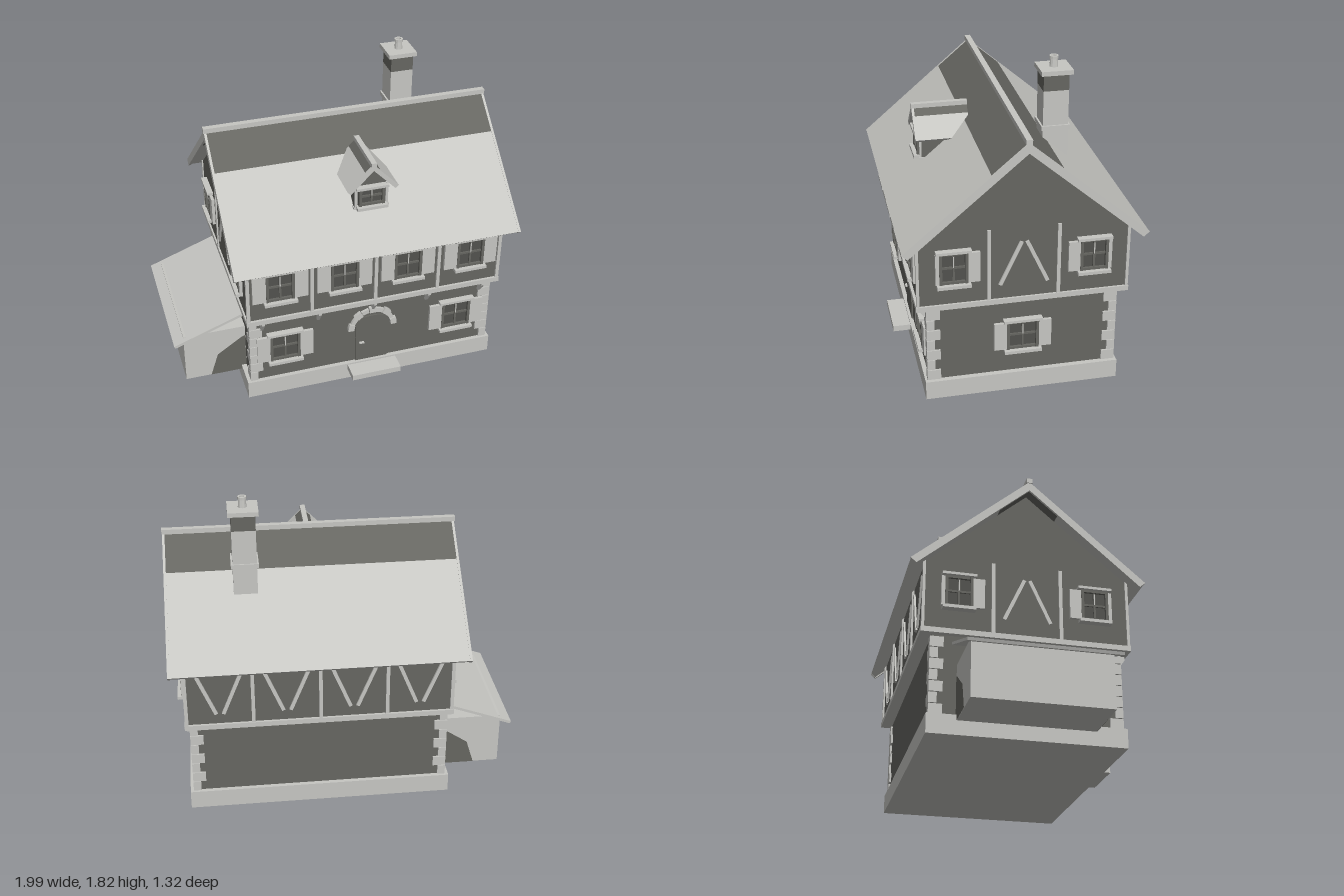
import * as THREE from 'three';

const mat = (name, color, side = THREE.FrontSide) => {
  const m = new THREE.MeshStandardMaterial({ color, side });
  m.name = name;
  return m;
};

export function createModel() {
  const light = mat('pale stone', 0xc6c6c2);
  const dark = mat('dark plaster', 0x666661);
  const pane = mat('window glass', 0x52524e);
  const patch = mat('dark patch', 0x666660, THREE.DoubleSide);
  const house = new THREE.Group();
  house.name = 'house';
  const CX = 0.157; // centre of the main block

  const add = (parent, name, geo, m) => {
    const mesh = new THREE.Mesh(geo, m);
    mesh.name = name;
    parent.add(mesh);
    return mesh;
  };
  // Box given by its limits on each axis
  const box = (parent, name, m, [x0, x1], [y0, y1], [z0, z1]) => {
    const mesh = add(parent, name, new THREE.BoxGeometry(x1 - x0, y1 - y0, z1 - z0), m);
    mesh.position.set((x0 + x1) / 2, (y0 + y1) / 2, (z0 + z1) / 2);
    return mesh;
  };
  const shapeOf = (pts) => new THREE.Shape(pts.map(([x, y]) => new THREE.Vector2(x, y)));
  const extrude = (shape, depth) =>
    new THREE.ExtrudeGeometry(shape, { depth, bevelEnabled: false, curveSegments: 10 });
  // Profile in [z, y] extruded along x
  const prismX = (parent, name, m, pts, x0, x1) => {
    const geo = extrude(shapeOf(pts.map(([z, y]) => [-z, y])), x1 - x0).rotateY(Math.PI / 2);
    add(parent, name, geo, m).position.x = x0;
  };
  // Profile in [x, y] extruded along z
  const prismZ = (parent, name, m, pts, z0, z1) => {
    add(parent, name, extrude(shapeOf(pts), z1 - z0), m).position.z = z0;
  };
  // Flat diagonal brace between two points on a wall facing +z
  const brace = (parent, [xa, ya], [xb, yb], z) => {
    const b = add(parent, 'brace', new THREE.BoxGeometry(0.02, Math.hypot(xb - xa, yb - ya), 0.016), light);
    b.position.set((xa + xb) / 2, (ya + yb) / 2, z);
    b.rotation.z = -Math.atan2(xb - xa, yb - ya);
  };
  // Group that faces outward on a wall
  const facing = (name, x, y, z, turn) => {
    const g = new THREE.Group();
    g.name = name;
    g.position.set(x, y, z);
    g.rotation.y = turn;
    house.add(g);
    return g;
  };

  // Plinth, lower storey and doorstep
  box(house, 'plinth', light, [-0.605, 0.915], [0, 0.11], [-0.543, 0.543]);
  box(house, 'lowerWalls', dark, [-0.575, 0.885], [0.11, 0.57], [-0.518, 0.518]);
  box(house, 'doorstep', light, [0.005, 0.305], [0.065, 0.1], [0.54, 0.645]);

  // Corner stones
  for (const sx of [-1, 1]) for (const sz of [-1, 1]) for (let i = 0; i < 7; i++) {
    const a = i % 2 ? 0.075 : 0.045, b = i % 2 ? 0.045 : 0.075;
    const px = sx < 0 ? -0.585 : 0.896, pz = sz * 0.53, y = 0.112 + i * 0.0635;
    box(house, 'cornerStone', light, [px, px - sx * a].sort((p, q) => p - q), [y, y + 0.059],
      [pz, pz - sz * b].sort((p, q) => p - q));
  }

  // Upper storey with gables, floor beam and posts
  prismX(house, 'upperWalls', dark,
    [[-0.57, 0.58], [0.57, 0.58], [0.57, 0.985], [0, 1.472], [-0.57, 0.985]], -0.597, 0.908);
  box(house, 'floorBeam', light, [-0.607, 0.92], [0.565, 0.595], [-0.585, 0.585]);
  const postX = [-0.595, -0.224, 0.154, 0.533, 0.907];
  for (const s of [-1, 1]) {
    for (const x of postX) box(house, 'post', light, [x - 0.01, x + 0.01], [0.595, 0.99],
      [s * 0.574 - 0.008, s * 0.574 + 0.008]);
    for (const z of [-0.19, 0.19]) {
      const x = s < 0 ? -0.598 : 0.909;
      box(house, 'gablePost', light, [x - 0.008, x + 0.008], [0.595, 1.015], [z - 0.01, z + 0.01]);
    }
    // Crossed braces in the middle of each gable
    const side = facing('gableBraces', s < 0 ? -0.599 : 0.91, 0, 0, s * Math.PI / 2);
    for (const k of [-1, 1]) brace(side, [k * 0.13, 0.68], [k * 0.015, 0.93], 0);
  }
  // V braces along the back
  for (let i = 0; i < 4; i++) {
    const c = (postX[i] + postX[i + 1]) / 2;
    for (const k of [-1, 1]) brace(house, [c + k * 0.02, 0.66], [c + k * 0.13, 0.93], -0.573);
  }
  // Brackets below the front overhang
  for (const x of [-0.51, -0.175, 0.157, 0.49, 0.825])
    prismX(house, 'bracket', light, [[0.515, 0.565], [0.575, 0.565], [0.575, 0.545], [0.532, 0.48], [0.515, 0.48]],
      x - 0.008, x + 0.008);

  // Roof: pale lower slopes, dark band near the ridge
  for (const s of [-1, 1]) {
    const mirror = (pts) => pts.map(([z, y]) => [s * z, y]);
    prismX(house, 'roofSlope', light,
      mirror([[0.19, 1.358], [0.66, 0.957], [0.633, 0.935], [0.165, 1.335]]), -0.674, 0.984);
    prismX(house, 'roofUpperBand', dark,
      mirror([[0, 1.52], [0.19, 1.358], [0.165, 1.335], [0, 1.476]]), -0.674, 0.984);
    for (const x of [-0.68, 0.976]) prismX(house, 'vergeBoard', light,
      mirror([[0, 1.523], [0.662, 0.957], [0.63, 0.929], [0, 1.468]]), x, x + 0.014);
  }
  box(house, 'ridgeCap', light, [-0.685, 0.992], [1.515, 1.543], [-0.017, 0.017]);

  // Chimney
  box(house, 'chimneyStack', light, [0.473, 0.607], [1.2, 1.64], [-0.304, -0.165]);
  box(house, 'chimneyBand', dark, [0.473, 0.607], [1.64, 1.73], [-0.304, -0.165]);
  box(house, 'chimneyCollar', light, [0.463, 0.617], [1.42, 1.445], [-0.313, -0.155]);
  box(house, 'chimneyCap', light, [0.455, 0.623], [1.73, 1.755], [-0.323, -0.15]);
  const potProfile = [[0.012, 1.755], [0.024, 1.755], [0.02, 1.8], [0.025, 1.8], [0.025, 1.815], [0.014, 1.815], [0.012, 1.755]];
  const pot = add(house, 'chimneyPot',
    new THREE.LatheGeometry(potProfile.map(([r, y]) => new THREE.Vector2(r, y)), 12).toNonIndexed(), light);
  pot.geometry.computeVertexNormals();
  pot.position.set(0.539, 0, -0.235);

  // Window in a group facing +z; shutter widths can differ
  const windowAt = (x, y, z, turn, { w = 0.165, h = 0.185, left = 0.078, right = 0.078 } = {}) => {
    const g = facing('window', x, y, z, turn);
    const a = w / 2, b = h / 2;
    box(g, 'pane', pane, [-a, a], [-b, b], [-0.004, 0.004]);
    for (const k of [-1, 1]) {
      box(g, 'jamb', dark, [k * (a - 0.008) - 0.008, k * (a - 0.008) + 0.008], [-b, b], [0, 0.022]);
      box(g, 'rail', dark, [-a, a], [k * (b - 0.007) - 0.007, k * (b - 0.007) + 0.007], [0, 0.018]);
    }
    box(g, 'mullion', dark, [-0.006, 0.006], [-b, b], [0, 0.014]);
    box(g, 'crossBar', dark, [-a, a], [-0.004, 0.008], [0, 0.012]);
    box(g, 'latch', light, [-0.003, 0.003], [0.005, b * 0.75], [0.012, 0.017]);
    box(g, 'lintel', light, [-a - 0.018, a + 0.018], [b, b + 0.015], [-0.005, 0.035]);
    box(g, 'sill', light, [-a - 0.014, a + 0.014], [-b - 0.018, -b], [-0.005, 0.042]);
    if (left) box(g, 'shutter', light, [-a - left, -a], [-b + 0.003, b - 0.006], [0.002, 0.02]);
    if (right) box(g, 'shutter', light, [a, a + right], [-b + 0.003, b - 0.006], [0.002, 0.02]);
  };
  for (const x of [-0.41, -0.035, 0.342, 0.723]) windowAt(x, 0.812, 0.571, 0);
  for (const x of [-0.375, 0.683]) windowAt(x, 0.335, 0.52, 0, { w: 0.18 });
  windowAt(0.887, 0.345, 0, Math.PI / 2, { w: 0.18, h: 0.175, left: 0.07, right: 0.07 });
  for (const s of [-1, 1]) for (const k of [-1, 1]) {
    // narrow shutter on the outer side, wide on the inner
    const wideRight = s * k > 0;
    windowAt(s < 0 ? -0.598 : 0.909, 0.815, k * 0.382, s * Math.PI / 2,
      { w: 0.155, left: wideRight ? 0.02 : 0.065, right: wideRight ? 0.065 : 0.02 });
  }

  // Arched door with stone surround
  const door = new THREE.Shape();
  door.moveTo(-0.1, 0.11);
  door.lineTo(0.1, 0.11);
  door.lineTo(0.1, 0.385);
  door.quadraticCurveTo(0.085, 0.433, 0, 0.433);
  door.quadraticCurveTo(-0.085, 0.433, -0.1, 0.385);
  add(house, 'door', extrude(door, 0.012), dark).position.set(CX, 0, 0.515);
  box(house, 'doorHandle', light, [0.078, 0.108], [0.242, 0.25], [0.525, 0.54]);
  for (let i = 0; i < 9; i++) {
    const stone = new THREE.Shape();
    const a0 = (i / 9) * Math.PI + 0.012, a1 = ((i + 1) / 9) * Math.PI - 0.012;
    stone.absarc(0, 0, i % 2 ? 0.14 : 0.15, a0, a1, false);
    stone.absarc(0, 0, 0.113, a1, a0, true);
    add(house, 'archStone', extrude(stone, i % 2 ? 0.022 : 0.028), light).position.set(CX, 0.35, 0.512);
  }

  // Dormer
  prismZ(house, 'dormerWalls', dark,
    [[0.06, 1.155], [0.254, 1.155], [0.254, 1.305], [CX, 1.408], [0.06, 1.305]], 0.17, 0.44);
  windowAt(CX, 1.225, 0.441, 0, { w: 0.15, h: 0.11, left: 0, right: 0 });
  for (const s of [-1, 1]) {
    const side = (pts) => pts.map(([x, y]) => [CX + s * x, y]);
    prismZ(house, 'dormerRoof', light,
      side([[0.045, 1.389], [0.147, 1.285], [0.131, 1.27], [0.032, 1.372]]), 0.165, 0.475);
    prismZ(house, 'dormerRoofBand', dark, side([[0, 1.435], [0.045, 1.389], [0.032, 1.372], [0, 1.405]]), 0.165, 0.465);
    prismZ(house, 'dormerVerge', light, side([[0, 1.437], [0.147, 1.287], [0.13, 1.268], [0, 1.402]]), 0.465, 0.479);
    box(house, 'dormerPost', light, [CX + s * 0.09 - 0.007, CX + s * 0.09 + 0.007], [1.16, 1.3], [0.435, 0.452]);
  }
  box(house, 'dormerRidge', light, [CX - 0.015, CX + 0.015], [1.425, 1.45], [0.163, 0.482]);
  box(house, 'dormerBase', light, [0.055, 0.259], [1.15, 1.162], [0.4, 0.455]);

  // Lean-to shed on the right-hand end
  box(house, 'shedWalls', light, [-0.94, -0.575], [0.08, 0.4], [-0.38, 0.37]);
  prismZ(house, 'shedRoof', light, [[-1, 0.372], [-0.577, 0.53], [-0.577, 0.513], [-0.994, 0.357]], -0.41, 0.405);
  for (const z of [-0.382, 0.372]) {
    const pts = [[-0.79, 0.08], [-0.745, 0.225], [-0.6, 0.325], [-0.576, 0.335], [-0.576, 0.08]];
    add(house, 'shedPatch', new THREE.ShapeGeometry(shapeOf(pts)), patch).position.z = z;
  }
  return house;
}
